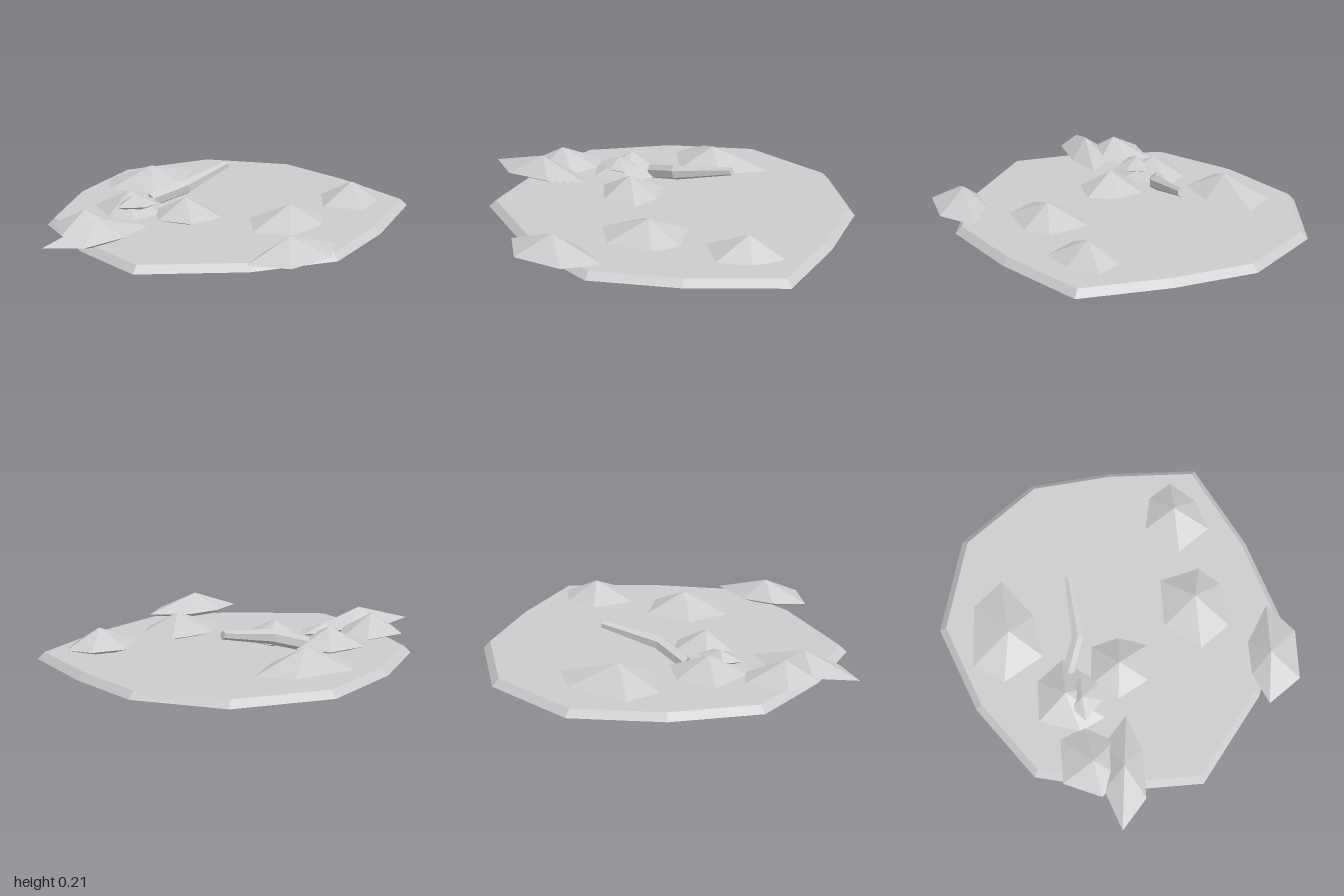
import * as THREE from 'three';

// Closed flat-shaded solid: start point, rings of corners, end point
function loft(start, rings, end) {
  const p = [];
  const n = rings[0].length;
  const tri = (a, b, c) => p.push(...a, ...b, ...c);
  for (let i = 0; i < n; i++) {
    const j = (i + 1) % n;
    tri(start, rings[0][i], rings[0][j]);
    for (let k = 0; k < rings.length - 1; k++) {
      const lo = rings[k], up = rings[k + 1];
      tri(lo[i], up[i], lo[j]);
      tri(lo[j], up[i], up[j]);
    }
    const top = rings[rings.length - 1];
    tri(end, top[j], top[i]);
  }
  const g = new THREE.BufferGeometry();
  g.setAttribute('position', new THREE.Float32BufferAttribute(p, 3));
  g.computeVertexNormals();
  return g;
}

export function createModel() {
  const group = new THREE.Group();
  const stone = new THREE.MeshStandardMaterial({ color: 0xcccccc, flatShading: true });
  stone.name = 'pale grey';
  const add = (name, geometry) => {
    const m = new THREE.Mesh(geometry, stone);
    m.name = name;
    group.add(m);
  };

  // Irregular twelve-sided slab with a bevelled rim
  const outline = [
    [0.12, -0.935], [0.625, -0.815], [0.94, -0.44], [1, -0.01], [1, 0.455], [0.56, 0.705],
    [0.12, 0.865], [-0.305, 0.72], [-0.76, 0.405], [-0.78, -0.01], [-0.695, -0.45], [-0.325, -0.745],
  ];
  const slabRing = (s, y) => outline.map(([x, z]) => [0.12 + (x - 0.12) * s, y, z * s]);
  add('groundSlab', loft([0.12, 0, 0], [slabRing(1, 0), slabRing(0.962, 0.036)], [0.12, 0.036, 0]));

  // Mounds: irregular rim with a peak above and a point below
  const mound = (name, [px, pz], rim, low = 0.005, mid = 0.062, high = 0.155) =>
    add(name, loft([px, low, pz], [rim.map(([x, z]) => [x, mid, z])], [px, high, pz]));

  mound('backMound', [0.045, -0.565],
    [[-0.11, -0.755], [0.22, -0.75], [0.36, -0.605], [0.155, -0.435], [-0.065, -0.395], [-0.2, -0.595]]);
  mound('middleMound', [0.205, 0.41],
    [[0.08, 0.245], [0.335, 0.235], [0.395, 0.44], [0.305, 0.55], [0.07, 0.58], [-0.05, 0.43]]);
  mound('leftMound', [0.71, 0.325],
    [[0.635, 0.17], [0.815, 0.2], [0.9, 0.315], [0.79, 0.445], [0.625, 0.505], [0.495, 0.345]]);
  mound('frontMound', [-0.115, 0.78],
    [[-0.205, 0.685], [-0.03, 0.675], [0.175, 0.785], [0.025, 0.925], [-0.235, 0.93], [-0.365, 0.765]]);
  mound('outerRightMound', [-0.69, 0.005],
    [[-0.79, -0.1], [-0.55, -0.09], [-0.4, 0.025], [-0.59, 0.1], [-0.84, 0.11], [-1, -0.015]]);
  mound('rightMound', [-0.66, -0.15],
    [[-0.75, -0.305], [-0.52, -0.315], [-0.46, -0.19], [-0.535, -0.04], [-0.72, -0.02], [-0.825, -0.11]]);
  mound('backRightMound', [-0.3, -0.28],
    [[-0.42, -0.42], [-0.205, -0.425], [-0.09, -0.295], [-0.235, -0.09], [-0.41, -0.085], [-0.48, -0.21]]);
  mound('centreMound', [-0.145, 0],
    [[-0.23, -0.15], [-0.025, -0.14], [0.02, 0], [-0.025, 0.15], [-0.215, 0.145], [-0.31, -0.01]]);

  // Small pebble resting on a mound
  mound('pebble', [-0.325, -0.195],
    [[-0.37, -0.25], [-0.25, -0.235], [-0.2, -0.2], [-0.24, -0.11], [-0.33, -0.1], [-0.44, -0.18]],
    0.06, 0.11, 0.155);

  // Bent tapering stick rising toward the left
  const stations = [[-0.17, 0.075, -0.265, 0.036], [0.012, 0.128, -0.207, 0.038], [0.32, 0.185, -0.25, 0.021]];
  const rings = stations.map(([x, y, z, r]) => Array.from({ length: 6 }, (_, i) => {
    const t = (i / 6) * Math.PI * 2;
    return [x - 0.3 * r * Math.cos(t), y + r * Math.cos(t), z - r * Math.sin(t)];
  }));
  add('stick', loft(stations[0].slice(0, 3), rings, stations[2].slice(0, 3)));

  return group;
}
